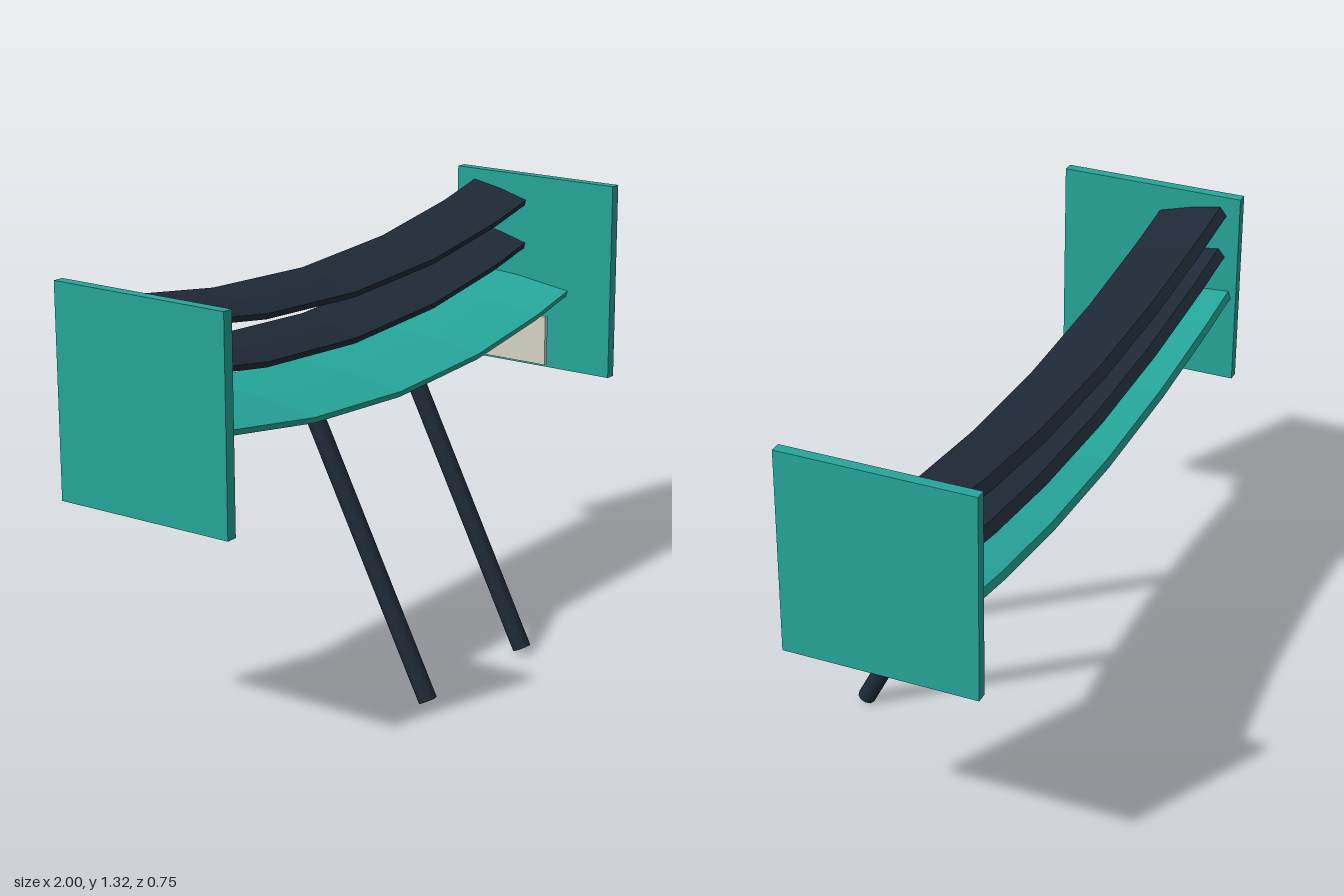
import * as THREE from 'three';

const teal = new THREE.MeshStandardMaterial({ color: 0x26a69a });
const darkNavy = new THREE.MeshStandardMaterial({ color: 0x1f2937 });
const offWhite = new THREE.MeshStandardMaterial({ color: 0xd6d3c4 });

// Spanwise stations of the bowed blades
const STATIONS = [-0.97, -0.78, -0.42, 0, 0.42, 0.78, 0.97];

// Sweeps a closed [z, y] section (counter-clockwise seen from +x with z to the left) along the bow
function bladeGeometry(section) {
  const n = section.length;
  const pos = [];
  const point = (x, k) => {
    const t = (x / 0.97) ** 2;
    return [x, section[k][1] + 0.11 * t, section[k][0] - 0.02 * t];
  };
  const tri = (a, b, c) => pos.push(...a, ...b, ...c);
  for (let i = 0; i < STATIONS.length - 1; i++) {
    const x0 = STATIONS[i], x1 = STATIONS[i + 1];
    for (let k = 0; k < n; k++) {
      const m = (k + 1) % n;
      tri(point(x0, k), point(x1, k), point(x1, m));
      tri(point(x0, k), point(x1, m), point(x0, m));
    }
  }
  // End caps: split the section into strips between the upper and lower lines
  const half = n / 2;
  for (let k = 0; k < half - 1; k++) {
    const quad = [k, k + 1, n - 2 - k, n - 1 - k];
    for (const [x, flip] of [[0.97, false], [-0.97, true]]) {
      const [a, b, c, d] = quad.map((q) => point(x, q));
      if (flip) { tri(a, b, c); tri(a, c, d); } else { tri(a, c, b); tri(a, d, c); }
    }
  }
  const g = new THREE.BufferGeometry();
  g.setAttribute('position', new THREE.Float32BufferAttribute(pos, 3));
  g.computeVertexNormals();
  return g;
}

export function createModel() {
  const model = new THREE.Group();
  model.name = 'rearWing';
  const add = (name, geometry, material, x = 0, y = 0, z = 0) => {
    const mesh = new THREE.Mesh(geometry, material);
    mesh.name = name;
    mesh.position.set(x, y, z);
    model.add(mesh);
    return mesh;
  };

  // Main plane: upper line front to back, then lower line back to front
  add('mainPlane', bladeGeometry([
    [0.075, 0.848], [-0.12, 0.876], [-0.33, 0.89],
    [-0.338, 0.866], [-0.12, 0.846], [0.07, 0.83],
  ]), teal);

  // Two dark flaps stacked above
  const flap = bladeGeometry([
    [-0.09, 0.018], [-0.19, 0.046], [-0.29, 0.065],
    [-0.312, 0.038], [-0.19, 0.016], [-0.095, 0],
  ]);
  add('lowerFlap', flap, darkNavy, 0, 0.968, 0);
  add('upperFlap', flap, darkNavy, 0, 1.11, 0);

  // Slanted legs
  const foot = new THREE.Vector3(0, 0.013, 0.352);
  const head = new THREE.Vector3(0, 0.855, -0.076);
  const axis = head.clone().sub(foot);
  const legGeometry = new THREE.CylinderGeometry(0.028, 0.028, axis.length(), 10);
  const mid = foot.clone().add(head).multiplyScalar(0.5);

  for (const [side, s] of [['left', 1], ['right', -1]]) {
    add(side + 'EndPlate', new THREE.BoxGeometry(0.034, 0.63, 0.59), teal, s * 0.983, 1.005, -0.08);
    add(side + 'SidePlate', new THREE.BoxGeometry(0.015, 0.16, 0.26), offWhite, s * 0.865, 0.81, -0.09);
    const leg = add(side + 'Leg', legGeometry, darkNavy, s * 0.255, mid.y, mid.z);
    leg.quaternion.setFromUnitVectors(new THREE.Vector3(0, 1, 0), axis.clone().normalize());
  }
  return model;
}
